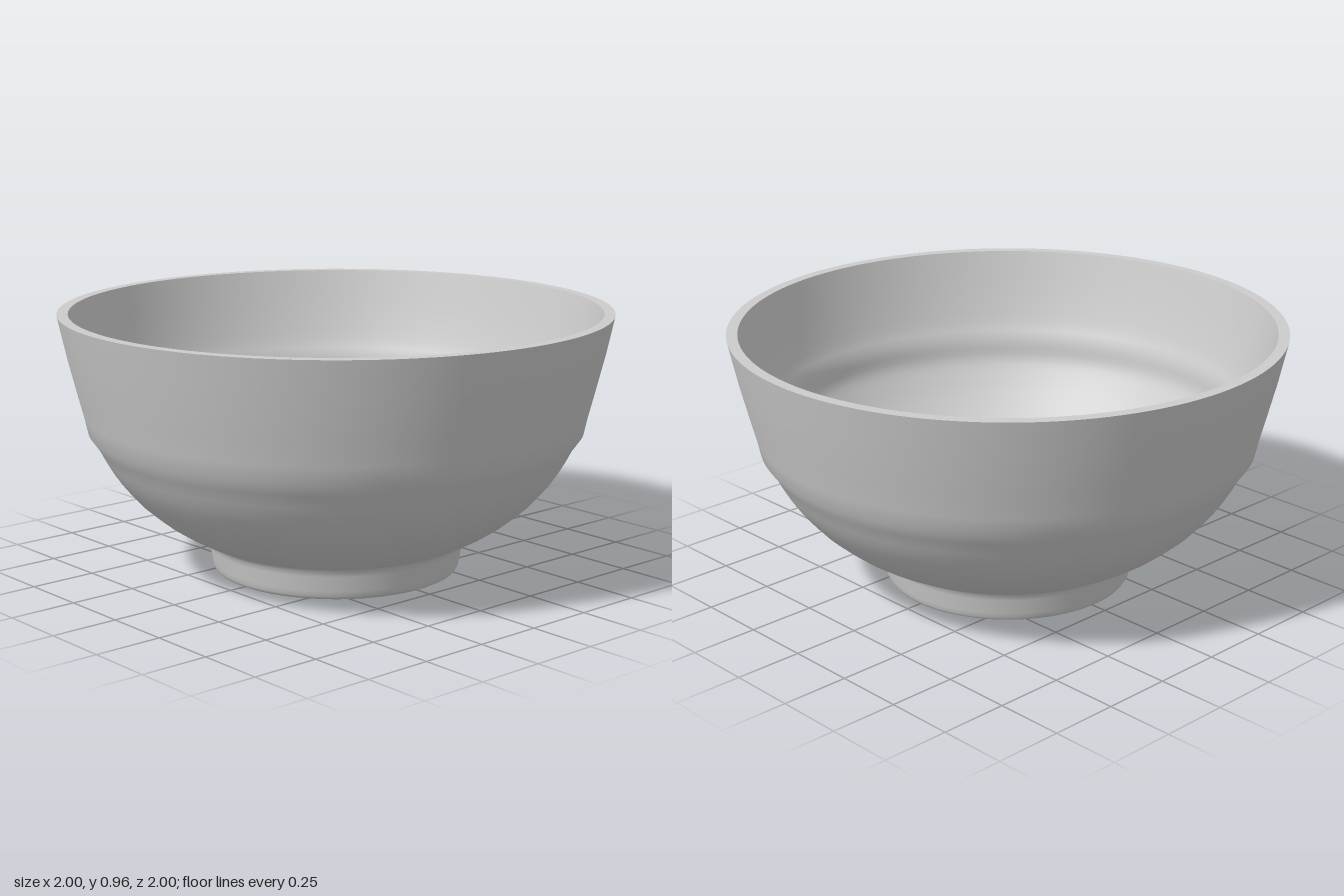
import * as THREE from 'three';

const SEGMENTS = 128;

// Round smooth surface from [radius, height] points; the surface faces the right of the path
function turned(name, points, material, samples = 0) {
  let profile = points.map(([r, y]) => new THREE.Vector2(r, y));
  if (samples) profile = new THREE.SplineCurve(profile).getPoints(samples);
  profile.forEach((p) => { p.x = Math.max(p.x, 0); });
  const mesh = new THREE.Mesh(new THREE.LatheGeometry(profile, SEGMENTS), material);
  mesh.name = name;
  return mesh;
}

export function createModel() {
  const bowl = new THREE.Group();
  bowl.name = 'bowl';
  const glaze = new THREE.MeshStandardMaterial({ color: 0xcccccc });
  glaze.name = 'pale grey glaze';

  // Hollow underside and foot ring
  bowl.add(turned('footRecess', [[0, 0.09], [0.35, 0.09], [0.37, 0.086], [0.382, 0.075], [0.414, 0.006]], glaze));
  bowl.add(turned('footRing', [
    [0.414, 0.006], [0.42, 0.001], [0.427, 0], [0.437, 0.001], [0.447, 0.006], [0.453, 0.016],
    [0.457, 0.035], [0.466, 0.09], [0.47, 0.108], [0.48, 0.12],
  ], glaze));

  // Outer wall: rounded belly, soft ledge, upright band, flared upper side
  bowl.add(turned('outerWall', [
    [0.48, 0.12], [0.535, 0.146], [0.59, 0.177], [0.64, 0.21], [0.685, 0.246], [0.727, 0.283], [0.765, 0.325],
    [0.795, 0.362], [0.82, 0.398], [0.843, 0.437], [0.868, 0.485], [0.9, 0.53], [0.914, 0.594], [0.936, 0.68],
    [0.968, 0.81], [1, 0.96],
  ], glaze));

  // Flat lip
  bowl.add(turned('rim', [[1, 0.96], [0.96, 0.96]], glaze));

  // Inner wall: flared side, upright band, rounded floor
  bowl.add(turned('innerWall', [
    [0.96, 0.96], [0.923, 0.81], [0.888, 0.69], [0.867, 0.64], [0.856, 0.6], [0.848, 0.54], [0.815, 0.48],
    [0.765, 0.41], [0.695, 0.335], [0.61, 0.27], [0.52, 0.22], [0.42, 0.185], [0.3, 0.16], [0.15, 0.145], [0, 0.14],
  ], glaze, 42));

  return bowl;
}
